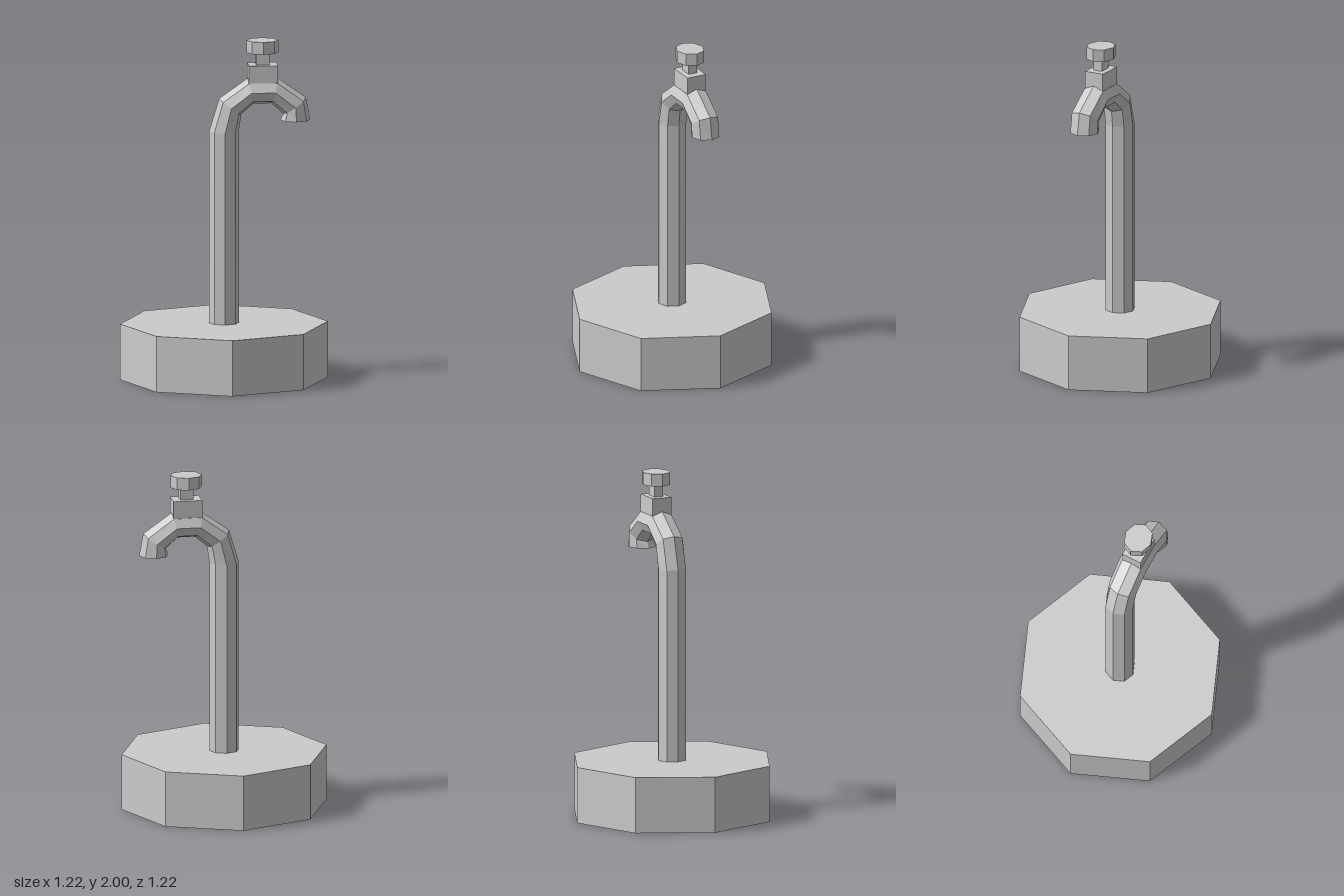
import * as THREE from 'three';

const material = new THREE.MeshStandardMaterial({ color: 0xcccccc, flatShading: true });

function part(name, geometry, x, y, z = 0) {
  const mesh = new THREE.Mesh(geometry, material);
  mesh.name = name;
  mesh.position.set(x, y, z);
  return mesh;
}

// Eight-sided tube through rings [centre x, centre y, outward x, outward y], capped at both ends
function octagonalPipe(rings, depth) {
  const sides = 8;
  const positions = [];
  const indices = [];
  for (const [cx, cy, ox, oy] of rings) {
    for (let i = 0; i < sides; i++) {
      const a = (i / sides) * Math.PI * 2;
      positions.push(cx + ox * Math.cos(a), cy + oy * Math.cos(a), depth * Math.sin(a));
    }
  }
  for (let r = 0; r < rings.length - 1; r++) {
    for (let i = 0; i < sides; i++) {
      const a = r * sides + i;
      const b = r * sides + ((i + 1) % sides);
      indices.push(a, b, a + sides, b, b + sides, a + sides);
    }
  }
  const last = (rings.length - 1) * sides;
  for (let i = 1; i < sides - 1; i++) {
    indices.push(0, i + 1, i);
    indices.push(last, last + i, last + i + 1);
  }
  const geometry = new THREE.BufferGeometry();
  geometry.setAttribute('position', new THREE.Float32BufferAttribute(positions, 3));
  geometry.setIndex(indices);
  const flat = geometry.toNonIndexed();
  flat.computeVertexNormals();
  return flat;
}

export function createModel() {
  const group = new THREE.Group();
  group.name = 'tap';
  const tapX = 0.225;

  // Octagonal base slab
  group.add(part('base', new THREE.CylinderGeometry(0.608, 0.608, 0.33, 8), 0, 0.165));

  // Upright pipe bending over into the spout
  const rings = [
    [0, 0.3, -0.087, 0],
    [0, 1.465, -0.087, 0],
    [0.036, 1.61, -0.065, 0.047],
    [0.155, 1.7, -0.018, 0.075],
    [0.295, 1.7, 0.018, 0.075],
    [0.413, 1.61, 0.067, 0.047],
    [0.417, 1.525, 0.087, 0],
  ];
  group.add(part('pipe', octagonalPipe(rings, 0.087), 0, 0));

  // Valve block, stem and turning knob
  group.add(part('valveBlock', new THREE.BoxGeometry(0.17, 0.15, 0.12), tapX, 1.782));
  group.add(part('valveStem', new THREE.BoxGeometry(0.078, 0.09, 0.056), tapX, 1.895));
  const knob = new THREE.CylinderGeometry(1, 1, 0.073, 8).scale(0.093, 1, 0.083);
  group.add(part('knob', knob, tapX, 1.9635));

  return group;
}
